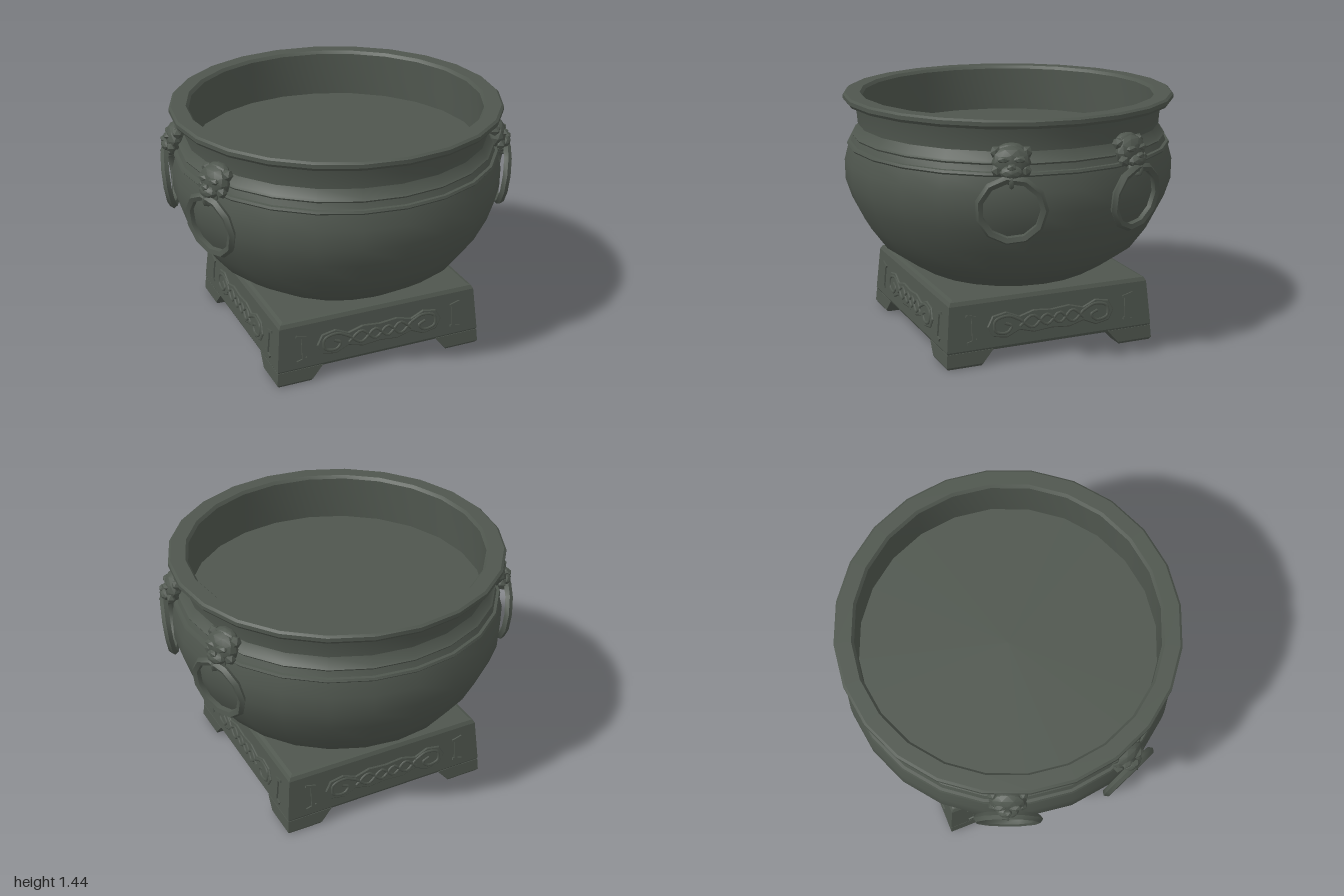
import * as THREE from 'three';
import { toCreasedNormals } from 'three/addons/utils/BufferGeometryUtils.js';
import { ConvexGeometry } from 'three/addons/geometries/ConvexGeometry.js';

const bronze = new THREE.MeshStandardMaterial({ color: 0x4f564e });
bronze.name = 'darkBronze';

function add(parent, name, geometry, x = 0, y = 0, z = 0) {
  const mesh = new THREE.Mesh(geometry, bronze);
  mesh.name = name;
  mesh.position.set(x, y, z);
  parent.add(mesh);
  return mesh;
}

// Revolved profile, given from the bottom centre outward and up
function turned(profile, sides, start, crease) {
  const points = profile.map(([r, y]) => new THREE.Vector2(r, y));
  return toCreasedNormals(new THREE.LatheGeometry(points, sides, start), crease);
}

// Faceted lump for the carved heads
function lump(parent, name, [x, y, z], [sx, sy, sz], detail = 1) {
  const g = new THREE.IcosahedronGeometry(1, detail).scale(sx, sy, sz);
  return add(parent, name, toCreasedNormals(g, 0.4), x, y, z);
}

function wavyTube(points, radius) {
  const curve = new THREE.CatmullRomCurve3(points.map(([x, y, z]) => new THREE.Vector3(x, y, z)));
  return new THREE.TubeGeometry(curve, points.length * 4, radius, 5);
}

// Animal head with a hanging ring; local +z points out of the bowl
function createHandle() {
  const handle = new THREE.Group();
  handle.name = 'ringHandle';
  lump(handle, 'headSkull', [0, 1.215, 0.94], [0.105, 0.09, 0.06]);
  lump(handle, 'headCrown', [0, 1.275, 0.91], [0.075, 0.04, 0.045]);
  lump(handle, 'headSnout', [0, 1.17, 0.99], [0.062, 0.04, 0.04]);
  lump(handle, 'headNose', [0, 1.2, 1.01], [0.028, 0.022, 0.022], 0);
  lump(handle, 'headJaw', [0, 1.13, 0.975], [0.05, 0.03, 0.035]);
  for (const s of [-1, 1]) {
    lump(handle, 'headEar', [s * 0.082, 1.265, 0.92], [0.033, 0.035, 0.035], 0);
    lump(handle, 'headBrow', [s * 0.042, 1.238, 0.985], [0.038, 0.02, 0.025], 0);
    lump(handle, 'headCheek', [s * 0.075, 1.175, 0.96], [0.035, 0.035, 0.03], 0);
  }

  // Loop held in the mouth
  const loop = add(handle, 'ringLoop', new THREE.TorusGeometry(0.032, 0.014, 5, 8), 0, 1.125, 0.99);
  loop.rotation.y = Math.PI / 2;

  // Hanging ring, leaning in at the bottom
  const ringShape = toCreasedNormals(new THREE.TorusGeometry(0.175, 0.024, 5, 11), 0.6);
  const ring = add(handle, 'hangingRing', ringShape, 0, 0.965, 0.985);
  ring.rotation.x = 0.12;
  return handle;
}

// Carved relief for one side of the plinth; local origin is the panel centre
function createRelief() {
  const relief = new THREE.Group();
  relief.name = 'carvedPanel';

  // Scalloped cloud plate
  const half = [[-0.39, 0], [-0.36, 0.055], [-0.28, 0.07], [-0.2, 0.035], [-0.11, 0.06], [0, 0.05],
    [0.11, 0.06], [0.2, 0.035], [0.28, 0.07], [0.36, 0.055], [0.39, 0]];
  const outline = [...half, ...half.slice(1, -1).reverse().map(([x, y]) => [x, -y])];
  const shape = new THREE.Shape(outline.map(([x, y]) => new THREE.Vector2(x, y)));
  add(relief, 'cloudPlate', new THREE.ExtrudeGeometry(shape, {
    depth: 0.004, bevelEnabled: true, bevelThickness: 0.005, bevelSize: 0.006, bevelSegments: 1,
  }));

  // Scrolling stems across the plate
  for (const s of [-1, 1]) {
    const stem = [[-0.2, -0.02], [-0.12, 0.035], [-0.03, -0.03], [0.05, 0.03], [0.13, -0.035], [0.2, 0.02]];
    add(relief, 'scrollStem', wavyTube(stem.map(([x, y]) => [x, s * y, 0.009]), 0.009));
    const swirl = [[0.2, 0.02], [0.27, 0.05], [0.35, 0.03], [0.35, -0.03], [0.28, -0.045], [0.25, -0.01], [0.29, 0.01]];
    add(relief, 'scrollEnd', wavyTube(swirl.map(([x, y]) => [s * x, y, 0.009]), 0.009));

    // Bracket motif near the corner
    add(relief, 'bracketStem', new THREE.BoxGeometry(0.02, 0.14, 0.016), s * 0.48, 0, 0.002);
    for (const t of [-1, 1]) {
      add(relief, 'bracketEnd', new THREE.BoxGeometry(0.065, 0.015, 0.016), s * 0.49, t * 0.072, 0.002)
        .rotation.z = s * t * 0.25;
    }
  }
  return relief;
}

export function createModel() {
  const model = new THREE.Group();
  model.name = 'bronzeBasin';

  // Bowl with banded shoulder, flared rim and flat inner floor
  add(model, 'bowl', turned([
    [0, 0.38], [0.5, 0.38], [0.54, 0.4], [0.66, 0.475], [0.765, 0.55], [0.86, 0.68], [0.93, 0.82],
    [0.966, 0.93], [0.968, 1.05], [0.945, 1.135], [0.953, 1.145], [0.947, 1.158], [0.93, 1.16],
    [0.917, 1.192], [0.923, 1.202], [0.91, 1.212], [0.885, 1.26], [0.89, 1.32], [0.905, 1.388],
    [0.955, 1.393], [0.968, 1.41], [0.968, 1.432], [0.955, 1.443], [0.87, 1.443], [0.855, 1.425],
    [0.855, 1.16], [0, 1.16],
  ], 24, 0, 0.5));

  // Square plinth, tapering slightly upward
  add(model, 'plinth', turned([
    [0, 0.083], [0.632, 0.083], [0.64, 0.1], [0.617, 0.36], [0.605, 0.382], [0.585, 0.39], [0, 0.39],
  ].map(([r, y]) => [r * Math.SQRT2, y]), 4, Math.PI / 4, 0.3));

  // Corner feet with chamfered inner corners
  const footRing = (outer, inner, y) => [
    [outer, outer], [outer, inner], [inner + 0.1, inner], [inner, inner + 0.1], [inner, outer],
  ].map(([x, z]) => new THREE.Vector3(x, y, z));
  const footShape = new ConvexGeometry([
    ...footRing(0.635, 0.435, 0), ...footRing(0.645, 0.425, 0.015), ...footRing(0.639, 0.36, 0.09),
  ]);

  for (let i = 0; i < 4; i++) {
    const side = new THREE.Group();
    side.name = 'plinthSide';
    side.rotation.y = i * Math.PI / 2;
    add(side, 'foot', footShape);
    const relief = createRelief();
    relief.position.set(0, 0.22, 0.629);
    relief.rotation.x = -0.088;
    side.add(relief);
    model.add(side);
  }

  // Two ring handles on each flank
  for (const flank of [-1, 1]) {
    for (const s of [-1, 1]) {
      const handle = createHandle();
      handle.rotation.y = flank * (Math.PI / 2 + s * 0.385);
      model.add(handle);
    }
  }
  return model;
}
